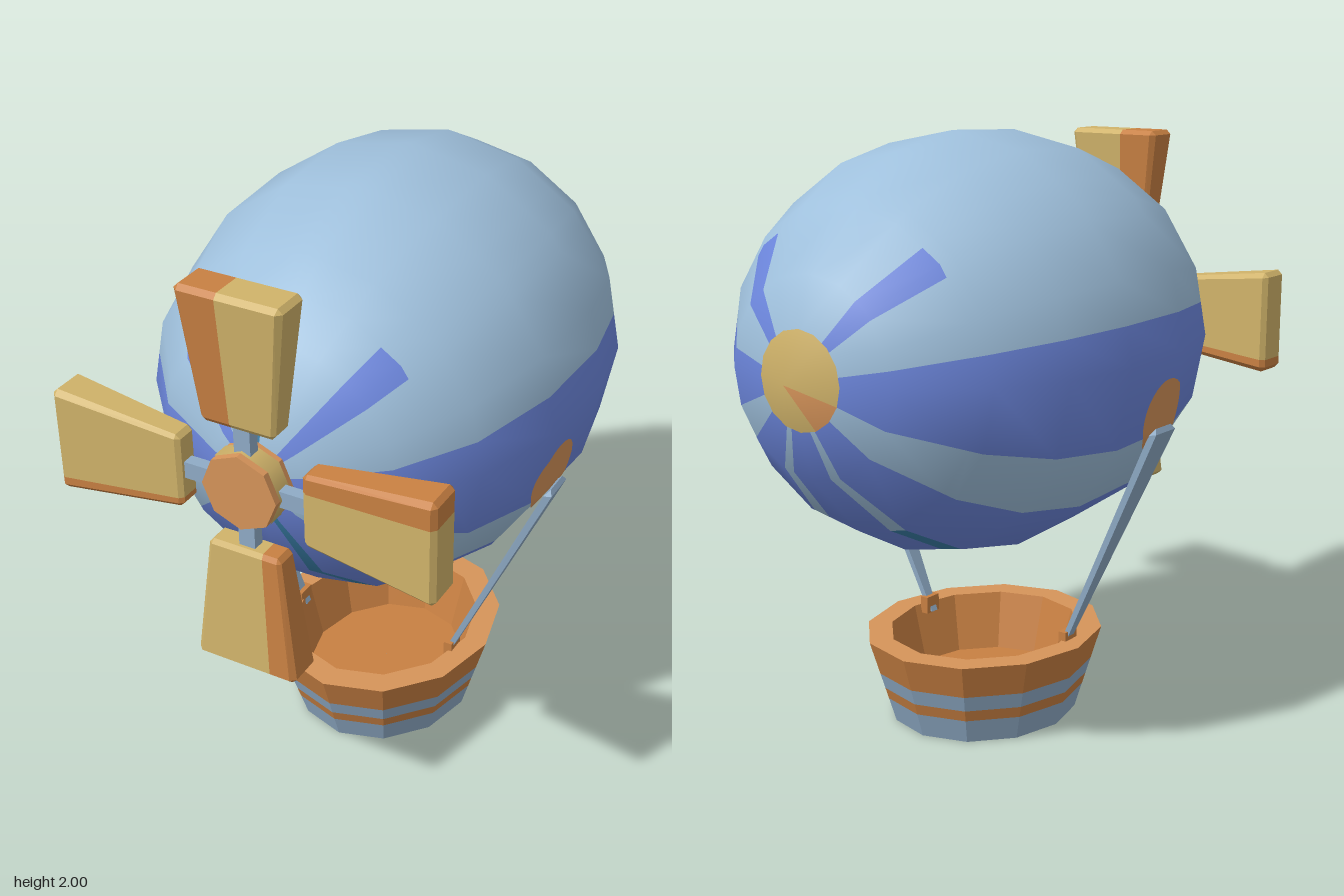
import * as THREE from 'three';
import { ConvexGeometry } from 'three/addons/geometries/ConvexGeometry.js';

const flat = (color, name, side = THREE.FrontSide) => {
  const m = new THREE.MeshStandardMaterial({ color, side });
  m.name = name;
  return m;
};
const V = (x, y, z) => new THREE.Vector3(x, y, z);
const lerp = THREE.MathUtils.lerp;
const rad = THREE.MathUtils.degToRad;

const CY = 1.315; // height of the balloon axis
const R = 0.685; // largest balloon radius

export function createModel() {
  const sky = flat(0x9fc0dc, 'sky blue');
  const blue = flat(0x6c86dc, 'stripe blue');
  const teal = flat(0x3a7fa8, 'teal');
  const gold = flat(0xd0b36a, 'gold');
  const orange = flat(0xd6945a, 'light orange', THREE.DoubleSide);
  const wood = flat(0xc88042, 'wood orange', THREE.DoubleSide);
  const steel = flat(0x8fabc6, 'grey blue');

  const model = new THREE.Group();
  const add = (parent, name, geometry, material) => {
    const mesh = new THREE.Mesh(geometry, material);
    mesh.name = name;
    parent.add(mesh);
    return mesh;
  };
  const faceted = (g) => {
    const f = g.index ? g.toNonIndexed() : g;
    f.computeVertexNormals();
    return f;
  };

  // Balloon profile: [z, radius] from tail to nose, with rows where stripes end
  const profile = [
    [-0.935, 0], [-0.865, 0.155], [-0.82, 0.31], [-0.64, 0.49], [-0.61, 0.52],
    [-0.39, 0.635], [-0.13, 0.685], [0.2, 0.67], [0.5, 0.575], [0.59, 0.496],
    [0.67, 0.426], [0.7, 0.4], [0.8, 0.16], [0.83, 0],
  ];

  // Sixteen-sided skin; extra columns follow the stripe edges
  const half = [-90, -76, -69, -67.5, -45, -43, -22.5, 0, 11, 22.5, 40, 45, 54, 67.5, 86.5, 90];
  const angles = [...half, ...half.slice(1, -1).reverse().map((a) => 180 - a)];
  const paint = (deg, z) => {
    const a = THREE.MathUtils.radToDeg(Math.asin(Math.sin(rad(deg))));
    if (z < -0.865) return deg > 195 && deg < 247 ? 4 : 3;
    if (a > -22.5 && a < 11) return 1;
    if (a > -76 && a < -69) return z < -0.6 ? 0 : 2;
    if (a < -43) return 1;
    if (a > 40 && a < 54 && (z > 0.59 || z < -0.64)) return 1;
    if (a > 86.5 && z > 0.67) return 2;
    return 0;
  };
  const skin = [sky, blue, teal, gold, orange];
  const cells = skin.map(() => []);
  const pos = [], nor = [];
  const n = angles.length;
  profile.forEach(([z, r], i) => {
    angles.forEach((deg, j) => {
      const t = ((deg % 22.5) + 22.5) % 22.5;
      const rr = r * Math.cos(rad(11.25)) / Math.cos(rad(t - 11.25));
      const c = Math.cos(rad(deg)), s = Math.sin(rad(deg));
      pos.push(rr * c, CY + rr * s, z);
      const nv = V(c * r / (R * R), s * r / (R * R), z / 0.81).normalize();
      nor.push(nv.x, nv.y, nv.z);
      if (i === profile.length - 1) return;
      const j2 = (j + 1) % n;
      const next = j2 === 0 ? 270 : angles[j2];
      const a = i * n + j, b = i * n + j2;
      cells[paint((deg + next) / 2, (z + profile[i + 1][0]) / 2)]
        .push(a, b, b + n, a, b + n, a + n);
    });
  });
  const balloon = new THREE.BufferGeometry();
  balloon.setAttribute('position', new THREE.Float32BufferAttribute(pos, 3));
  balloon.setAttribute('normal', new THREE.Float32BufferAttribute(nor, 3));
  balloon.setIndex(cells.flat());
  let start = 0;
  cells.forEach((list, k) => {
    balloon.addGroup(start, list.length, k);
    start += list.length;
  });
  add(model, 'balloon', balloon, skin);

  // Round patches hugging the balloon's sides
  const radiusAt = (z) => {
    const i = profile.findIndex((p) => p[0] >= z);
    const [z0, r0] = profile[i - 1], [z1, r1] = profile[i];
    return lerp(r0, r1, (z - z0) / (z1 - z0));
  };
  for (const side of [1, -1]) {
    const g = new THREE.RingGeometry(0, 0.12, 28, 6);
    const p = g.attributes.position;
    for (let i = 0; i < p.count; i++) {
      const z = 0.125 - p.getX(i) * side, y = 1.12 + p.getY(i);
      const r = radiusAt(z), d = CY - y;
      const x = Math.min(r - d * Math.tan(rad(11.25)),
        (r * Math.cos(rad(11.25)) - d * Math.sin(rad(33.75))) / Math.cos(rad(33.75)));
      p.setXYZ(i, side * (x + 0.006), y, z);
    }
    g.computeVertexNormals();
    add(model, 'sidePatch', g, orange);
  }

  // Propeller: hub plus four tapered, chamfered blades
  const propeller = new THREE.Group();
  propeller.name = 'propeller';
  propeller.position.set(0, CY, 0.867);
  model.add(propeller);
  const hub = new THREE.CylinderGeometry(0.125, 0.125, 0.1, 8).rotateX(Math.PI / 2);
  add(propeller, 'hub', faceted(hub.rotateZ(Math.PI / 8 * 2)), orange);
  add(propeller, 'hubBand',
    new THREE.CylinderGeometry(0.128, 0.128, 0.06, 8, 1, true).rotateX(Math.PI / 2), gold);

  // One slice of a blade between widths u0 and u1 (in -1..1)
  const bladePart = (u0, u1) => {
    const pts = [];
    const put = (u, v, w) => {
      const y = lerp(0.205, 0.637, v);
      pts.push(V(u * lerp(0.122, 0.175, v), y, w * lerp(0.04, 0.067, v)));
    };
    for (const u of [u0, u1]) {
      const outer = Math.abs(u) === 1;
      const inset = outer ? u * 0.9 : u;
      for (const v of [0, 1]) for (const w of [-1, 1]) {
        const vi = v ? 0.965 : 0.035;
        put(inset, v, w * 0.75);
        put(inset, vi, w);
        if (outer) put(u, vi, w * 0.75);
      }
    }
    return new ConvexGeometry(pts);
  };
  [-0.2, -0.5, -0.5, -0.75].forEach((split, k) => {
    const blade = new THREE.Group();
    blade.name = 'blade';
    blade.rotation.z = -k * Math.PI / 2;
    propeller.add(blade);
    add(blade, 'bladeEdge', bladePart(-1, split), wood);
    add(blade, 'bladeFace', bladePart(split, 1), gold);
    add(blade, 'bladeRod', new THREE.BoxGeometry(0.055, 0.16, 0.04).translate(0, 0.16, 0), steel);
  });

  // Basket: striped outer bands, then rim, inner wall and floor
  const basket = new THREE.Group();
  basket.name = 'basket';
  basket.position.set(0.01, 0, 0.053);
  basket.scale.set(0.876, 1, 1);
  model.add(basket);
  const wall = (y) => lerp(0.347, 0.445, y / 0.295);
  [[0, 0.085, steel], [0.085, 0.125, wood], [0.125, 0.18, steel], [0.18, 0.295, wood]]
    .forEach(([y0, y1, mat]) => {
      const g = new THREE.CylinderGeometry(wall(y1), wall(y0), y1 - y0, 12, 1, true);
      add(basket, 'basketBand', faceted(g.translate(0, (y0 + y1) / 2, 0)), mat);
    });
  add(basket, 'basketBase', new THREE.CircleGeometry(0.347, 12).rotateX(Math.PI / 2), steel);
  const rim = new THREE.LatheGeometry(
    [[0.001, 0.1], [0.3, 0.1], [0.355, 0.295]].map(([x, y]) => new THREE.Vector2(x, y)), 12);
  add(basket, 'basketInside', faceted(rim), wood);
  const lip = new THREE.LatheGeometry(
    [new THREE.Vector2(0.445, 0.295), new THREE.Vector2(0.355, 0.295)], 12);
  add(basket, 'basketRim', faceted(lip), orange);

  // Straps and the pegs that hold them
  for (const side of [1, -1]) {
    const pts = [];
    for (const s of [-1, 1]) {
      for (const t of [-1, 1]) {
        pts.push(V(side * (0.645 + t * 0.014), 1.065 + t * 0.003, 0.115 + s * 0.058));
        pts.push(V(side * (0.285 + t * 0.01), 0.27, 0.11 + s * 0.015));
      }
      pts.push(V(side * 0.65, 1.085, 0.115 + s * 0.045));
    }
    add(model, 'strap', new ConvexGeometry(pts), steel);
    add(model, 'strapPeg',
      new THREE.BoxGeometry(0.03, 0.06, 0.065).translate(side * 0.298, 0.295, 0.11), wood);
  }
  return model;
}
